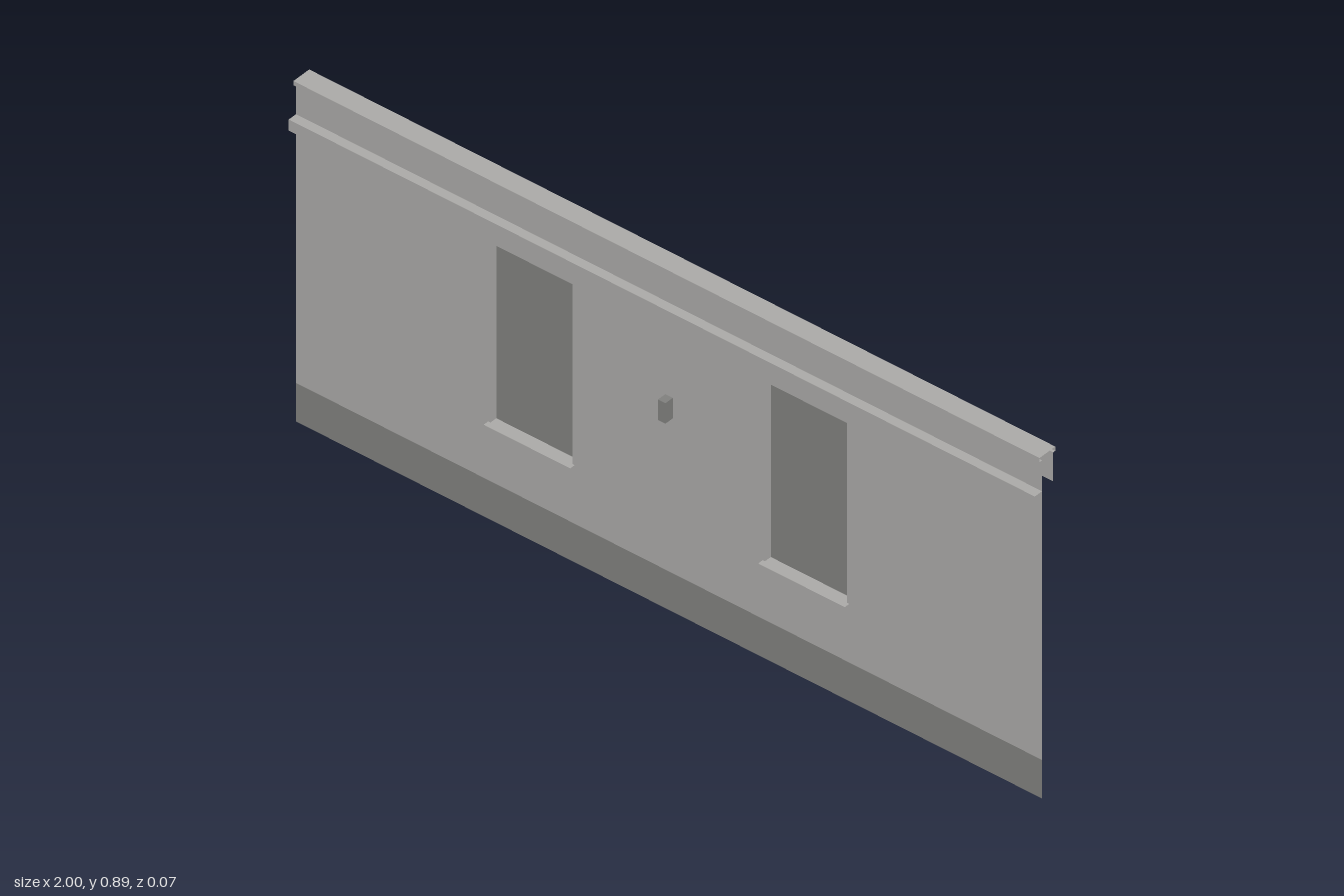
import * as THREE from 'three';

export function createModel() {
  const group = new THREE.Group();
  const light = new THREE.MeshStandardMaterial({ color: 0xaaa9a7, side: THREE.DoubleSide });
  light.name = 'light grey plaster';
  const dark = new THREE.MeshStandardMaterial({ color: 0x80807e, side: THREE.DoubleSide });
  dark.name = 'dark grey';

  const WALL_Z = 0.0095, GLASS_Z = -0.0095;
  const BASE = 0.1, SILL = 0.252, HEAD = 0.718, TOP = 0.888, LIP = 0.877;
  const windows = [[-0.479, -0.259], [0.257, 0.477]];

  function add(name, geometry, material) {
    const mesh = new THREE.Mesh(geometry, material);
    mesh.name = name;
    group.add(mesh);
    return mesh;
  }
  function box(name, x0, x1, y0, y1, z0, z1, material) {
    add(name, new THREE.BoxGeometry(x1 - x0, y1 - y0, z1 - z0), material)
      .position.set((x0 + x1) / 2, (y0 + y1) / 2, (z0 + z1) / 2);
  }
  function plate(name, x0, x1, y0, y1, z, material) {
    add(name, new THREE.PlaneGeometry(x1 - x0, y1 - y0), material)
      .position.set((x0 + x1) / 2, (y0 + y1) / 2, z);
  }
  // Closed rectangle, used for the wall outline and its openings
  function rect(path, x0, x1, y0, y1) {
    path.moveTo(x0, y0);
    path.lineTo(x1, y0);
    path.lineTo(x1, y1);
    path.lineTo(x0, y1);
    path.closePath();
    return path;
  }
  // Open strip of flat faces through pairs of cross-section points
  function strip(name, from, to, material, closed = false) {
    const pos = [];
    const count = closed ? from.length : from.length - 1;
    for (let i = 0; i < count; i++) {
      const j = (i + 1) % from.length;
      pos.push(...from[i], ...to[i], ...to[j], ...from[i], ...to[j], ...from[j]);
    }
    const g = new THREE.BufferGeometry();
    g.setAttribute('position', new THREE.Float32BufferAttribute(pos, 3));
    g.computeVertexNormals();
    add(name, g, material);
  }

  // Thin wall sheet with two window openings, and the dark plinth below it
  const wall = rect(new THREE.Shape(), -1, 1, BASE, LIP);
  for (const [x0, x1] of windows) wall.holes.push(rect(new THREE.Path(), x0, x1, SILL, HEAD));
  add('wall', new THREE.ShapeGeometry(wall), light).position.z = WALL_Z;
  plate('plinth', -1, 1, 0, BASE, WALL_Z, dark);

  // Windows: reveal, glass and projecting sill
  for (const [x0, x1] of windows) {
    const corners = [[x0, SILL], [x0, HEAD], [x1, HEAD], [x1, SILL]];
    strip('windowReveal', corners.map(([x, y]) => [x, y, GLASS_Z]),
      corners.map(([x, y]) => [x, y, WALL_Z]), light, true);
    plate('windowGlass', x0, x1, SILL, HEAD, GLASS_Z, dark);
    box('windowSill', x0 - 0.006, x1 + 0.006, 0.24, SILL, WALL_Z, 0.024, light);
  }

  // Moulding along the front and the small lamp between the windows
  box('moulding', -1, 1, 0.768, 0.797, WALL_Z, 0.033, light);
  box('wallLamp', -0.01, 0.01, 0.502, 0.555, WALL_Z, 0.033, dark);

  // Folded coping, open at the ends, with a fascia hanging down the back
  const profile = [[WALL_Z, LIP], [0.018, LIP], [0.018, TOP], [-0.033, TOP],
    [-0.033, LIP], [-0.026, LIP], [-0.026, 0.802]];
  strip('coping', profile.map(([z, y]) => [-1, y, z]),
    profile.map(([z, y]) => [1, y, z]), light);

  return group;
}
